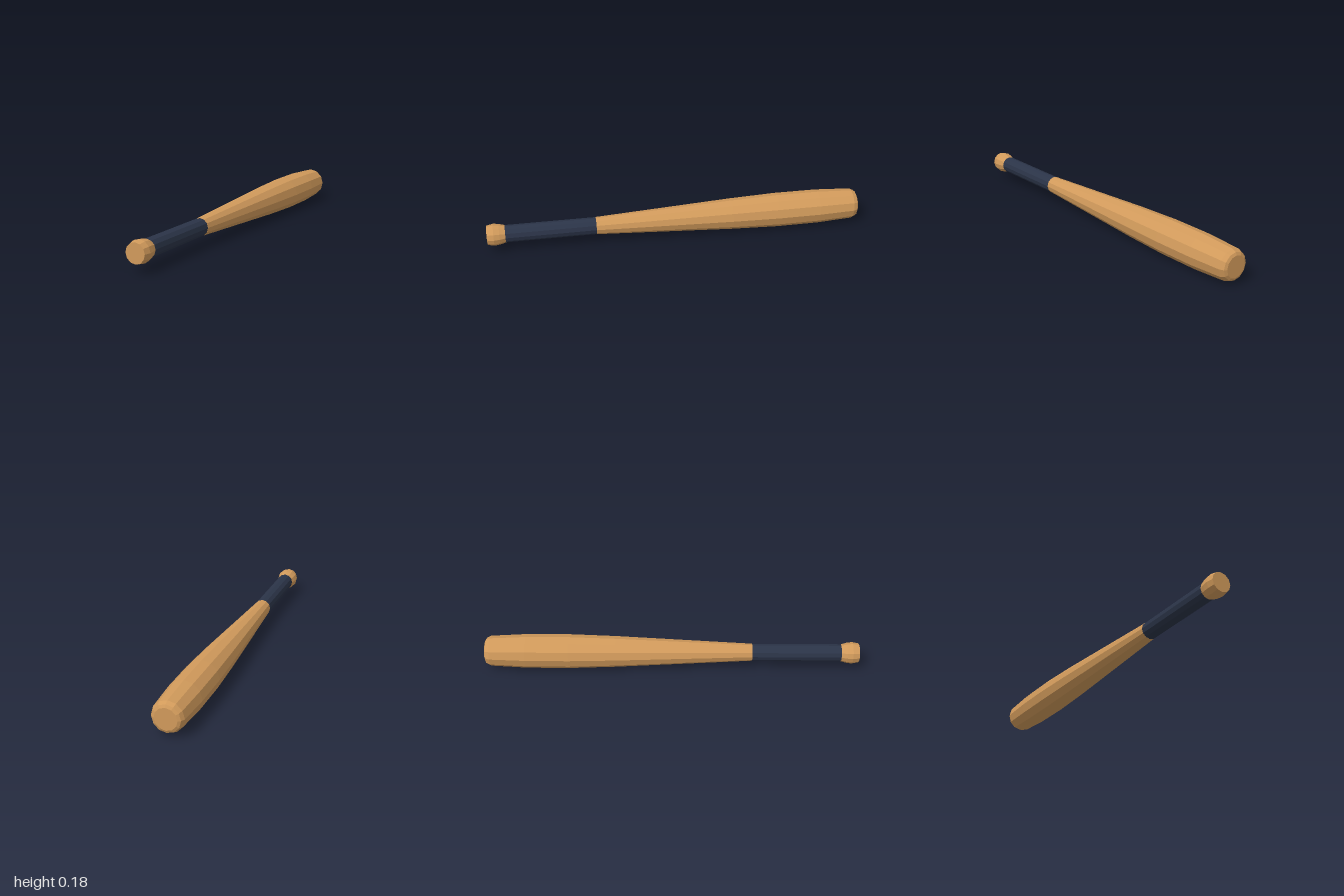
import * as THREE from 'three';

const SIDES = 12;
const AXIS_HEIGHT = 0.0935;

// Faceted turned part from [z, radius] pairs, listed from back (-z) to front (+z)
function turned(name, profile, color) {
  const points = profile.map(([z, r]) => new THREE.Vector2(r, z));
  const geometry = new THREE.LatheGeometry(points, SIDES);
  geometry.rotateX(Math.PI / 2);
  const material = new THREE.MeshStandardMaterial({ color, flatShading: true });
  const mesh = new THREE.Mesh(geometry, material);
  mesh.name = name;
  mesh.position.y = AXIS_HEIGHT;
  return mesh;
}

export function createModel() {
  const wood = 0xd19a5b;
  const navy = 0x2b3448;
  const group = new THREE.Group();
  group.name = 'bat';

  // Barrel: rounded end, widest section, long taper to the grip
  group.add(turned('barrel', [
    [-1, 0], [-1, 0.057], [-0.993, 0.071], [-0.972, 0.081],
    [-0.78, 0.091], [-0.55, 0.0915], [-0.3, 0.083],
    [0.43, 0.046], [0.43, 0],
  ], wood));

  // Wrapped handle
  group.add(turned('grip', [
    [0.43, 0], [0.43, 0.0455], [0.905, 0.0455], [0.905, 0],
  ], navy));

  // Flared knob with a bevelled end
  group.add(turned('knob', [
    [0.905, 0], [0.905, 0.0455], [0.935, 0.054],
    [0.965, 0.058], [1, 0.051], [1, 0],
  ], wood));

  return group;
}
